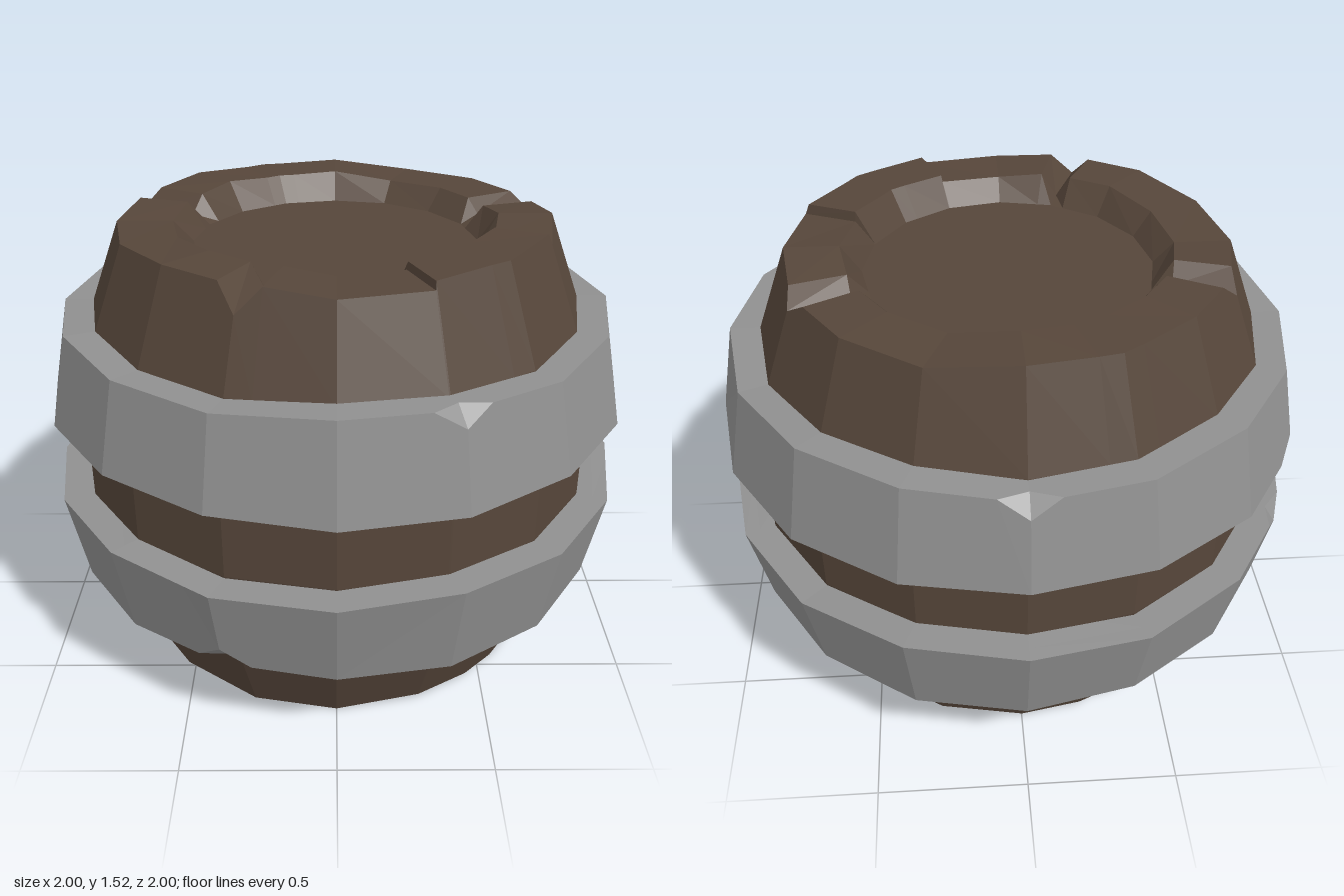
import * as THREE from 'three';

const SIDES = 16;
const STEP = (Math.PI * 2) / SIDES;

// Distance factor that keeps an in-between angle on the flat side of the 16-gon
function chord(angle) {
  const off = ((angle % STEP) + STEP) % STEP - STEP / 2;
  return Math.cos(STEP / 2) / Math.cos(off);
}

// Linear blend of one value per corner
function atAngle(values, angle) {
  const t = angle / STEP + SIDES;
  const k = Math.floor(t + 1e-6);
  const f = t - k;
  return values[k % SIDES] * (1 - f) + values[(k + 1) % SIDES] * f;
}

// Skin a closed loop of columns; column = { a: angle, pts: [[radius, y], ...], chip }
function skin(columns) {
  const pos = [];
  const point = (c, r) => {
    const R = c.pts[r][0] * chord(c.a);
    return [Math.cos(c.a) * R, c.pts[r][1], Math.sin(c.a) * R];
  };
  columns.sort((p, q) => p.a - q.a);
  columns.forEach((c, i) => {
    const d = columns[(i + 1) % columns.length];
    for (let r = 0; r < c.pts.length - 1; r++) {
      const p = point(c, r), q = point(c, r + 1), s = point(d, r), t = point(d, r + 1);
      const forward = Boolean(c.chip) !== (r >= 3);
      const tris = forward ? [p, q, t, p, t, s] : [p, q, s, q, t, s];
      tris.forEach((v) => pos.push(...v));
    }
  });
  const geo = new THREE.BufferGeometry();
  geo.setAttribute('position', new THREE.Float32BufferAttribute(pos, 3));
  geo.computeVertexNormals();
  return geo;
}

// Wooden body: uneven rims, split notches, one raised stave and sunken ends
function bodyGeometry() {
  const top = [1.505, 1.485, 1.515, 1.485, 1.48, 1.5, 1.505, 1.49, 1.48, 1.5, 1.51, 1.5, 1.505, 1.48, 1.485, 1.485];
  const bottom = [0.05, 0.02, 0, 0.02, 0, 0, 0.03, 0.03, 0.03, 0.03, 0.03, 0.02, 0.03, 0.02, 0, 0.02];
  const column = (a, topY = atAngle(top, a), botY = atAngle(bottom, a)) => ({
    a,
    pts: [
      [0, 0.09], [0.48, 0.09], [0.545, botY], [0.73 + (botY - 0.02) * 0.38, botY],
      [0.84, 0.31], [0.895, 0.62], [0.895, 0.9], [0.84, 1.2],
      [0.73 + (1.49 - topY) * 0.38, topY], [0.545, topY], [0.48, 1.41], [0, 1.41],
    ],
  });
  const topNotch = { 5: 0.08, 9: 0.06, 15: 0.045 };
  const bottomNotch = { 2: 0.05, 11: 0.06 };
  const cols = [];
  for (let k = 0; k < SIDES; k++) {
    const a = k * STEP;
    if (k === 1) {
      cols.push(column(a - 0.003), column(a + 0.003, 1.52));
    } else if (k === 3) {
      cols.push(column(a - 0.003, 1.51), column(a + 0.003));
    } else {
      cols.push(column(a, top[k] - (topNotch[k] || 0), bottom[k] + (bottomNotch[k] || 0)));
    }
    if (topNotch[k] || bottomNotch[k]) {
      cols.push(column(a - 0.1, top[k]), column(a + 0.1, top[k]));
    }
  }
  return skin(cols);
}

// Metal band with wavy edges; chips are listed by corner number
function bandGeometry(y0, y1, r0, r1, chipsLow, chipsHigh, phase) {
  const wave = (n) => Array.from({ length: SIDES }, (_, k) => 0.008 * Math.sin(k * n * STEP + phase));
  const low = wave(3), high = wave(5);
  const slope = (r1 - r0) / (y1 - y0);
  const column = (a, dLow = 0, dHigh = 0) => {
    const b = y0 + atAngle(low, a), t = y1 + atAngle(high, a);
    return {
      a,
      chip: dLow + dHigh > 0,
      pts: [
        [0.8, b], [r0 - 0.05, b], [r0 + slope * dLow, b + dLow],
        [r1 - slope * dHigh, t - dHigh], [r1 - 0.05, t], [0.8, t],
      ],
    };
  };
  const cols = [];
  const chips = [...chipsLow, ...chipsHigh];
  for (let k = 0; k < SIDES; k++) {
    const a = k * STEP;
    cols.push(column(a, chipsLow.includes(k) ? 0.065 : 0, chipsHigh.includes(k) ? 0.055 : 0));
    if (chips.includes(k)) {
      cols.push(column((a - 0.1 + Math.PI * 2) % (Math.PI * 2)), column(a + 0.1));
    }
  }
  return skin(cols);
}

export function createModel() {
  const wood = new THREE.MeshStandardMaterial({ color: 0x56463a, flatShading: true });
  wood.name = 'dark wood';
  const metal = new THREE.MeshStandardMaterial({ color: 0x909090, flatShading: true });
  metal.name = 'grey metal';

  const group = new THREE.Group();
  group.name = 'barrel';
  const add = (name, geo, mat) => {
    const mesh = new THREE.Mesh(geo, mat);
    mesh.name = name;
    group.add(mesh);
  };
  add('woodenBody', bodyGeometry(), wood);
  add('upperBand', bandGeometry(0.9, 1.205, 1, 0.938, [9], [3, 12], 0.6), metal);
  add('lowerBand', bandGeometry(0.31, 0.62, 0.938, 1, [0, 5], [9], 2), metal);
  return group;
}
